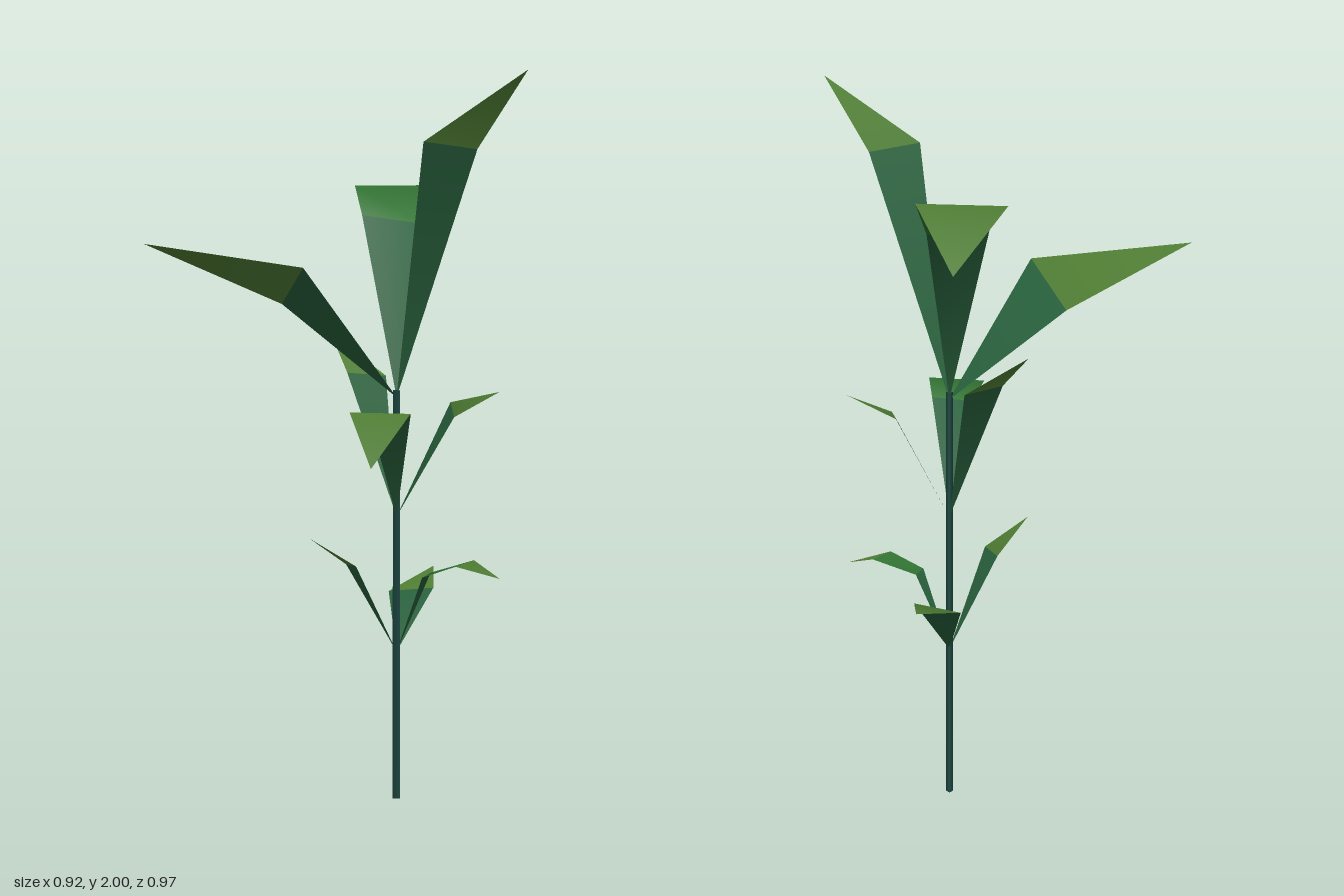
import * as THREE from 'three';

const STEM_X = -0.012, STEM_Z = 0.022;

const green = (color) => new THREE.MeshStandardMaterial({ color, side: THREE.DoubleSide });
const baseGreen = green(0x28603c), midGreen = green(0x337534), tipGreen = green(0x4f7d34);

// Each leaf: base height, pairs of [right, left] edge points outwards, then the tip
const LEAVES = {
  upperFrontLeaf: [1.13, [[[-0.113, 1.82, 0.18], [0.05, 1.8, 0.24]]], [-0.088, 2.0, 0.483]],
  upperBackRightLeaf: [1.13, [[[-0.15, 1.38, -0.265], [-0.32, 1.495, -0.057]]], [-0.459, 1.55, -0.487]],
  upperBackLeftLeaf: [1.13, [
    [[0.144, 1.595, -0.005], [0.08, 1.617, -0.162]],
    [[0.358, 1.695, -0.108], [0.268, 1.692, -0.327]],
  ], [0.459, 1.53, -0.283]],
  middleRightLeaf: [0.8, [
    [[-0.175, 1.1, 0.047], [-0.144, 1.105, 0.162]],
    [[-0.34, 1.13, 0.108], [-0.29, 1.133, 0.265]],
  ], [-0.4, 1.0, 0.22]],
  middleFrontLeaf: [0.8, [[[0.02, 1.085, 0.19], [0.183, 1.1, 0.067]]], [0.152, 1.145, 0.25]],
  middleBackLeaf: [0.8, [[[0.107, 1.17, -0.1], [0, 1.185, -0.155]]], [0.105, 1.284, -0.295]],
  lowerRightLeaf: [0.42, [[[-0.127, 0.675, -0.065], [-0.173, 0.685, 0.003]]], [-0.262, 0.765, -0.085]],
  lowerLeftLeaf: [0.42, [[[0.126, 0.58, 0.05], [0.085, 0.562, -0.075]]], [0.286, 0.603, -0.06]],
  lowerFrontLeaf: [0.42, [
    [[-0.015, 0.64, 0.11], [0.055, 0.64, 0.09]],
    [[0, 0.68, 0.21], [0.105, 0.68, 0.2]],
  ], [0.064, 0.648, 0.312]],
};

// Thin folded blade: pointed base, quads between edge pairs, pointed tip
function makeLeaf(name, [baseY, pairs, tip]) {
  const points = [[STEM_X, baseY, STEM_Z], ...pairs.flat(), tip];
  const index = [0, 1, 2];
  for (let i = 1; i < pairs.length; i++) {
    const r = 2 * i - 1;
    index.push(r, r + 2, r + 3, r, r + 3, r + 1);
  }
  const last = points.length - 1;
  index.push(last - 2, last, last - 1);

  const geometry = new THREE.BufferGeometry();
  geometry.setAttribute('position', new THREE.Float32BufferAttribute(points.flat(), 3));
  geometry.setIndex(index);
  geometry.computeVertexNormals();

  // Colour grows lighter from base to tip
  geometry.addGroup(0, 3, 0);
  if (index.length > 6) geometry.addGroup(3, index.length - 6, 1);
  geometry.addGroup(index.length - 3, 3, 2);

  const leaf = new THREE.Mesh(geometry, [baseGreen, midGreen, tipGreen]);
  leaf.name = name;
  return leaf;
}

export function createModel() {
  const plant = new THREE.Group();
  plant.name = 'plant';

  // Slender three-sided stalk
  const stalk = new THREE.Mesh(
    new THREE.CylinderGeometry(0.011, 0.012, 1.15, 3),
    new THREE.MeshStandardMaterial({ color: 0x1f4a44 }),
  );
  stalk.name = 'stalk';
  stalk.position.set(STEM_X, 0.575, STEM_Z);
  plant.add(stalk);

  for (const [name, leaf] of Object.entries(LEAVES)) plant.add(makeLeaf(name, leaf));
  return plant;
}
